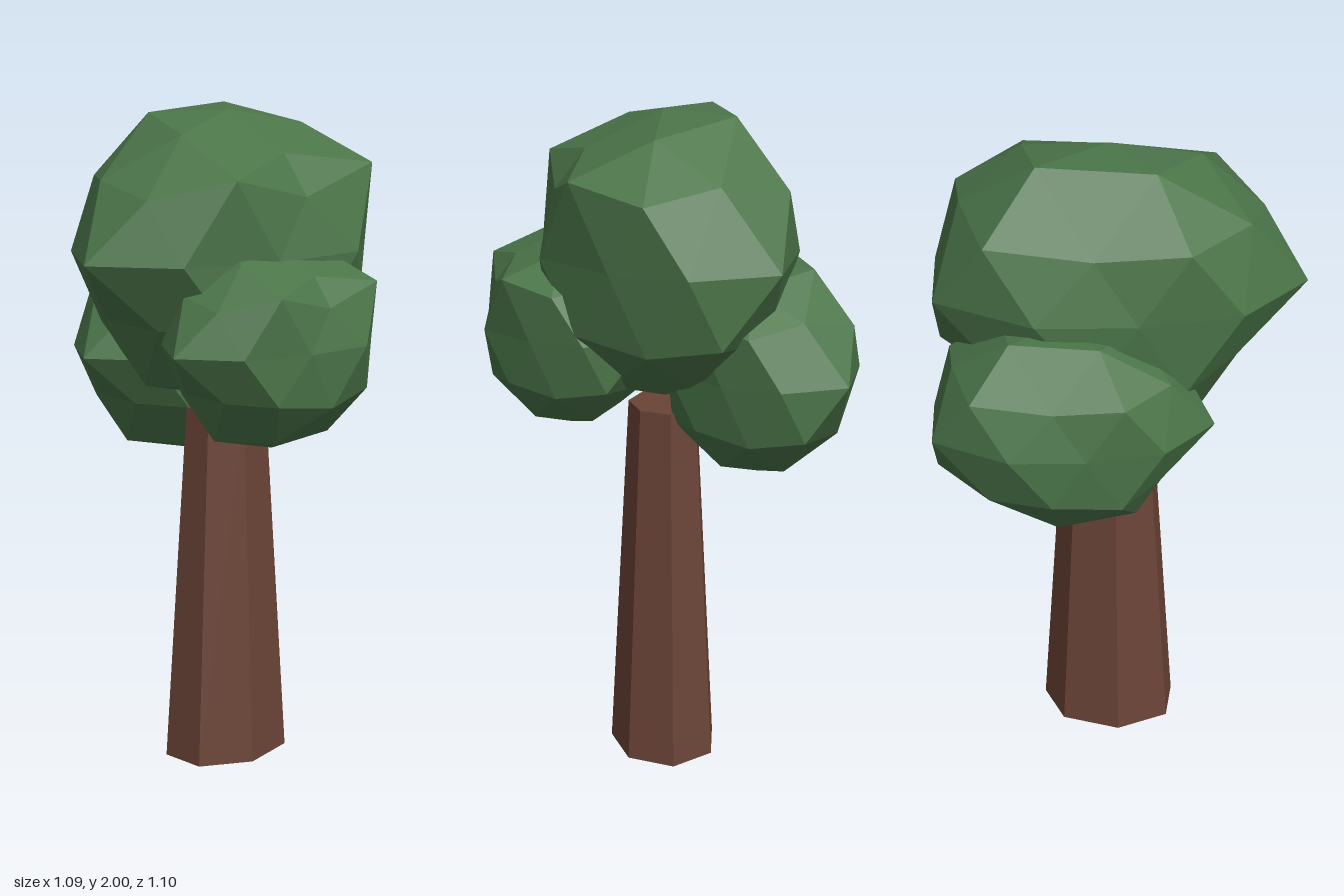
import * as THREE from 'three';
import { mergeVertices } from 'three/addons/utils/BufferGeometryUtils.js';

// Hand-shaped corners of the foliage: the nearest corner snaps to each point
const CORNERS = [
  [0, 0, 0.55], [0, 0.4, -0.03], [0, -0.467, -0.03],      // front tip, crown top, underside
  [0.31, 0.24, 0.25], [0.31, 0.245, -0.33],               // right shoulder ridge
  [0.32, 0.17, -0.03], [0.23, 0.29, -0.03],
  [0.07, 0.35, 0.23], [-0.187, 0.4, -0.21],               // top facets
  [0.06, 0.35, -0.29], [0.12, 0.2, -0.5],                 // back slope
  [0.11, 0.18, 0.41], [-0.1, 0.22, 0.39],                 // front slope
  [-0.32, 0.205, -0.34], [-0.31, 0.18, -0.03],            // left shoulder
  [-0.27, 0, -0.5], [-0.1, -0.21, -0.52],                 // back left bulge
  [-0.12, -0.19, 0.36], [0.1, -0.2, 0.36], [-0.06, -0.4, 0.255], // under the tip
  [0.345, 0, 0.11], [-0.34, 0, 0.1], [0.21, 0, -0.42],    // pinched waist
];

// Faceted foliage clump: a stretched icosphere standing on one of its corners
function clumpGeometry() {
  let geo = new THREE.IcosahedronGeometry(1, 1);
  geo.deleteAttribute('normal');
  geo.deleteAttribute('uv');
  geo = mergeVertices(geo, 1e-3);

  const pole = new THREE.Vector3(0, 1, (1 + Math.sqrt(5)) / 2).normalize();
  const side = new THREE.Vector3(0, -pole.z, pole.y);
  const basis = new THREE.Matrix4().makeBasis(side, pole, side.clone().cross(pole));
  geo.applyMatrix4(basis.transpose());
  geo.scale(0.4, 0.46, 0.515).translate(0, 0, -0.03);

  const pos = geo.attributes.position;
  const v = new THREE.Vector3();
  for (const c of CORNERS) {
    const target = new THREE.Vector3(...c);
    let best = 0, bestDist = Infinity;
    for (let i = 0; i < pos.count; i++) {
      const d = v.fromBufferAttribute(pos, i).distanceTo(target);
      if (d < bestDist) { bestDist = d; best = i; }
    }
    pos.setXYZ(best, ...c);
  }
  geo = geo.toNonIndexed();
  geo.computeVertexNormals();
  return geo;
}

export function createModel() {
  const tree = new THREE.Group();
  tree.name = 'tree';

  const leafGreen = new THREE.MeshStandardMaterial({ color: 0x4b7549, flatShading: true });
  leafGreen.name = 'leaf green';
  const barkBrown = new THREE.MeshStandardMaterial({ color: 0x6b4437, flatShading: true });
  barkBrown.name = 'bark brown';

  // Tapered seven-sided trunk with a corner at the back
  const trunk = new THREE.Mesh(
    new THREE.CylinderGeometry(0.139, 0.215, 1.11, 7, 1, false, Math.PI), barkBrown);
  trunk.name = 'trunk';
  trunk.scale.x = 0.77;
  trunk.position.set(0.008, 0.555, -0.03);
  tree.add(trunk);

  // One large clump and two smaller ones
  const geo = clumpGeometry();
  const clumps = [
    ['crownFoliage', 0.01, 1.6, 0, 1],
    ['leftFoliage', 0.28, 1.36, 0.08, 0.7],
    ['rightFoliage', -0.26, 1.26, -0.1, 0.75],
  ];
  for (const [name, x, y, z, size] of clumps) {
    const clump = new THREE.Mesh(geo, leafGreen);
    clump.name = name;
    clump.position.set(x, y, z);
    clump.scale.setScalar(size);
    tree.add(clump);
  }
  return tree;
}
